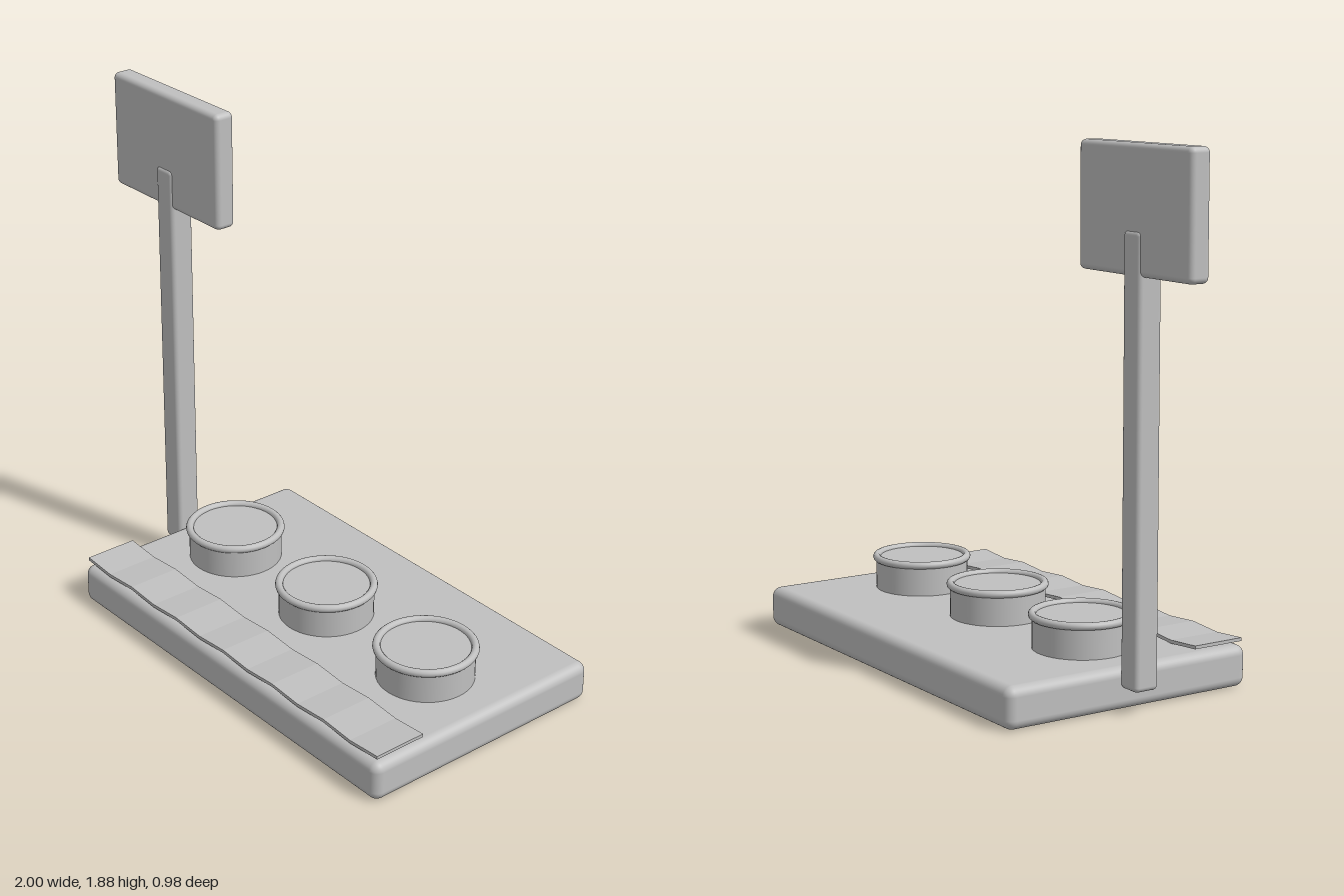
import * as THREE from 'three';
import { RoundedBoxGeometry } from 'three/addons/geometries/RoundedBoxGeometry.js';

export function createModel() {
  const model = new THREE.Group();
  const grey = new THREE.MeshStandardMaterial({ color: 0xbfbfbf });
  grey.name = 'grey';

  const add = (name, geometry, x, y, z, parent = model) => {
    const mesh = new THREE.Mesh(geometry, grey);
    mesh.name = name;
    mesh.position.set(x, y, z);
    parent.add(mesh);
    return mesh;
  };

  // Base slab, post and sign board
  add('base', new RoundedBoxGeometry(1.655, 0.148, 0.98, 4, 0.035), 0.1725, 0.074, 0);
  add('post', new RoundedBoxGeometry(0.092, 1.52, 0.094, 4, 0.017), -0.696, 0.84, 0);
  add('signBoard', new RoundedBoxGeometry(0.61, 0.428, 0.08, 4, 0.02), -0.695, 1.666, 0);

  // Three round pots with a rolled rim
  [-0.363, 0.166, 0.695].forEach((x, i) => {
    const pot = new THREE.Group();
    pot.name = 'pot' + (i + 1);
    pot.position.x = x;
    model.add(pot);
    add('potBody', new THREE.CylinderGeometry(0.172, 0.172, 0.124, 48), 0, 0.202, 0, pot);
    add('potRim', new THREE.TorusGeometry(0.17, 0.014, 12, 48), 0, 0.264, 0, pot).rotation.x = Math.PI / 2;
  });

  // Folded mat along the front edge: twelve panels in a shallow zigzag
  const panels = 12, width = 1.63, thickness = 0.012, fold = 0.01;
  const points = [];
  const px = i => -width / 2 + (width * i) / panels;
  const py = i => (i % 2 === 0 ? fold : 0);
  for (let i = 0; i <= panels; i++) points.push(new THREE.Vector2(px(i), py(i)));
  for (let i = panels; i >= 0; i--) points.push(new THREE.Vector2(px(i), py(i) + thickness));
  const mat = new THREE.ExtrudeGeometry(new THREE.Shape(points), { depth: 0.2, bevelEnabled: false });
  add('foldedMat', mat, 0.167, 0.153, 0.27);

  return model;
}
